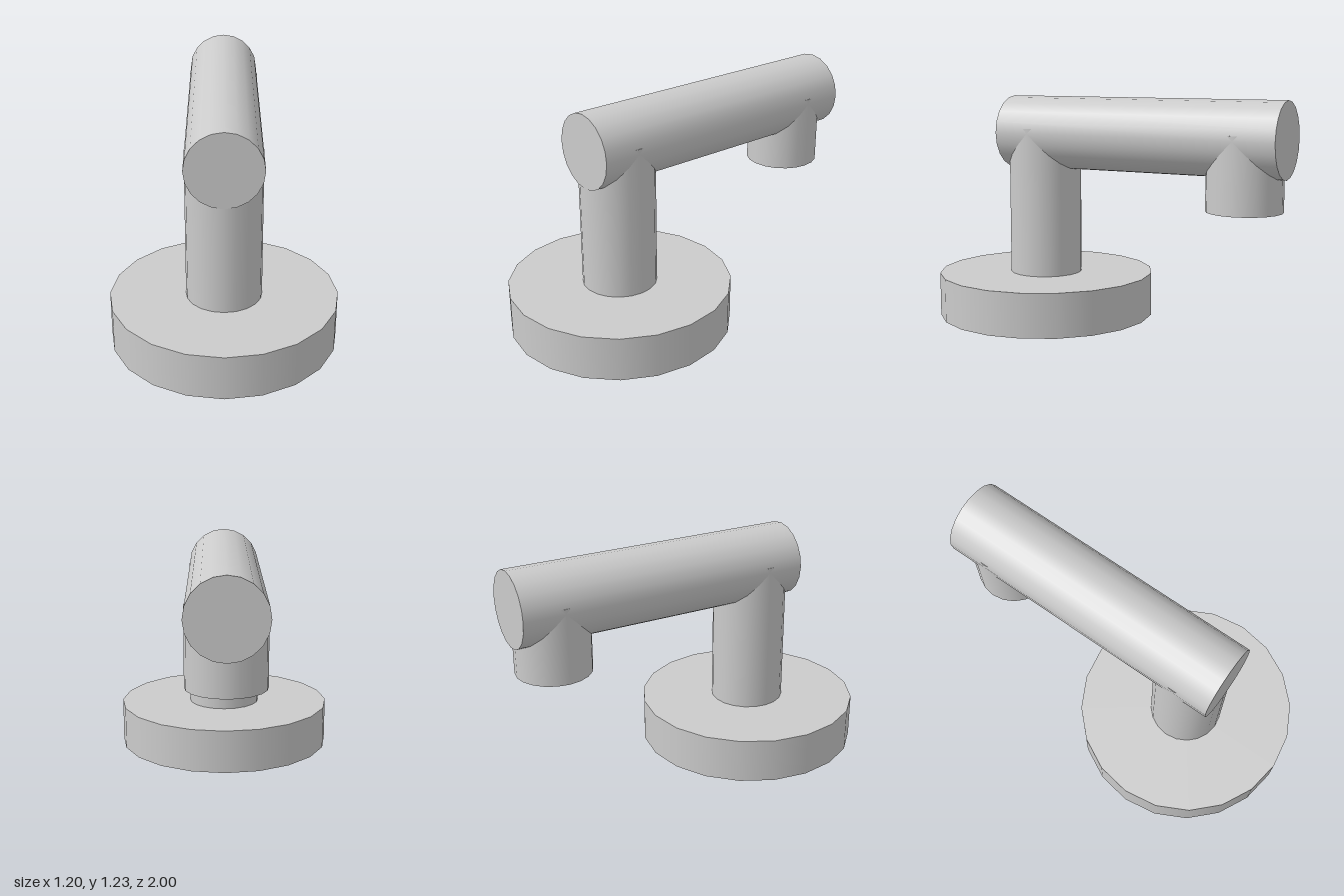
import * as THREE from 'three';

const SIDES = 20;

export function createModel() {
  const model = new THREE.Group();
  const material = new THREE.MeshStandardMaterial({ color: 0xcccccc });

  const addCylinder = (name, radius, length) => {
    const geometry = new THREE.CylinderGeometry(radius, radius, length, SIDES);
    const mesh = new THREE.Mesh(geometry, material);
    mesh.name = name;
    model.add(mesh);
    return mesh;
  };

  // Upright cylinder spanning y0..y1 at depth z
  const addUpright = (name, radius, y0, y1, z) =>
    addCylinder(name, radius, y1 - y0).position.set(0, (y0 + y1) / 2, z);

  addUpright('base', 0.6, 0, 0.24, 0.4);
  addUpright('post', 0.2, 0.24, 1.054, 0.4);
  addUpright('spout', 0.2, 0.655, 1.054, -0.78);

  // Horizontal arm running front to back over the post and spout
  const arm = addCylinder('arm', 0.2, 1.6);
  arm.rotation.x = Math.PI / 2;
  arm.position.set(0, 1.027, -0.2);

  return model;
}
